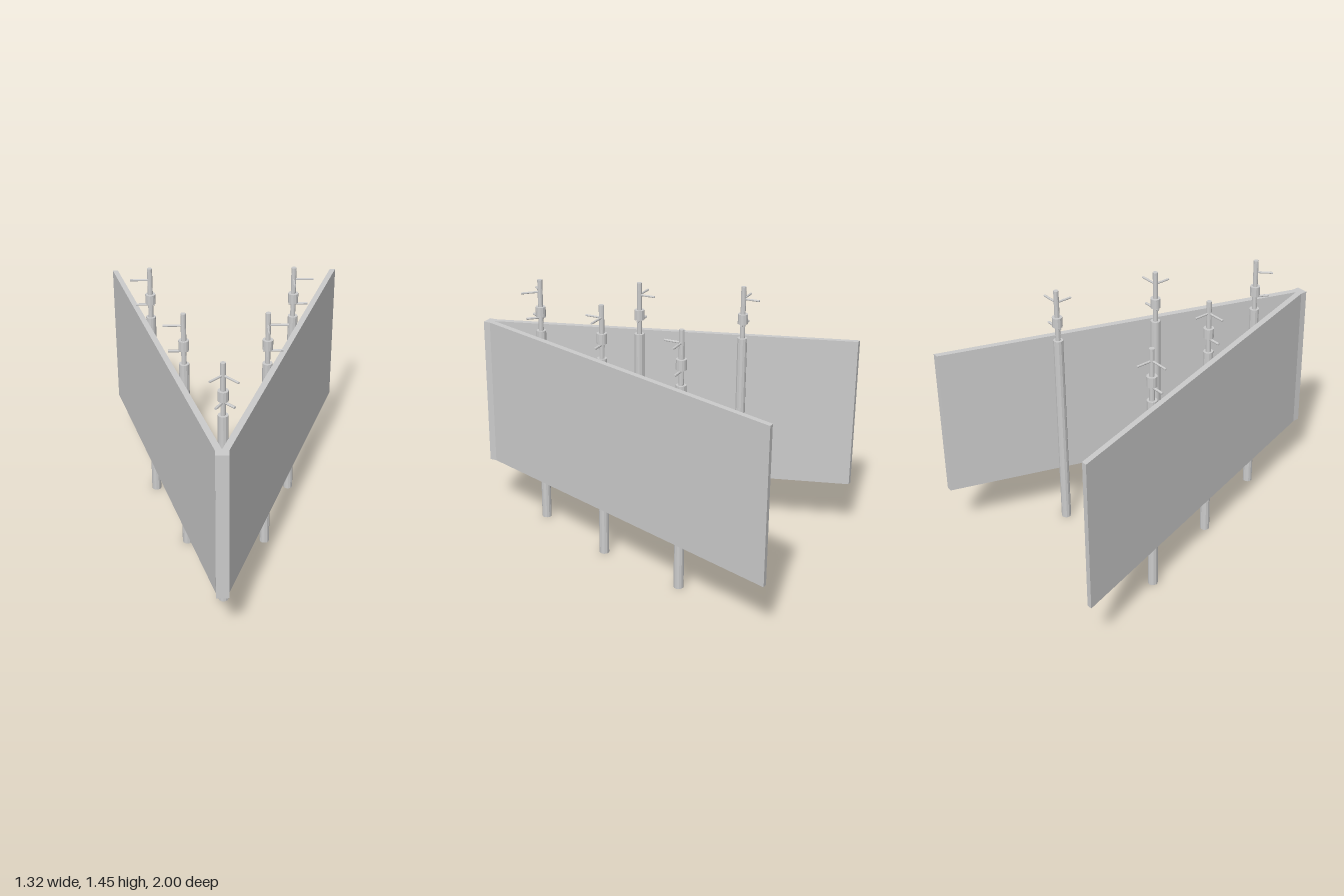
import * as THREE from 'three';

const material = new THREE.MeshStandardMaterial({ color: 0xcccccc, flatShading: true });

function part(name, geometry, y = 0) {
  const mesh = new THREE.Mesh(geometry, material);
  mesh.name = name;
  mesh.position.y = y;
  return mesh;
}

function rod(name, radius, y0, y1) {
  return part(name, new THREE.CylinderGeometry(radius, radius, y1 - y0, 12), (y0 + y1) / 2);
}

// Horizontal peg pointing along an angle measured from +x towards +z
function peg(name, y, angle, start, end, radius) {
  const geometry = new THREE.CylinderGeometry(radius, radius, end - start, 8);
  geometry.rotateZ(-Math.PI / 2);
  geometry.translate((start + end) / 2, 0, 0);
  geometry.rotateY(-angle);
  return part(name, geometry, y);
}

// Stepped post with a collar and pegs
function makePost(name, x, z, degrees) {
  const post = new THREE.Group();
  const a = THREE.MathUtils.degToRad(degrees);
  post.name = name;
  post.position.set(x, 0, z);
  post.add(
    rod('lowerPole', 0.027, 0, 1.153),
    rod('upperPole', 0.014, 1.153, 1.445),
    rod('collar', 0.028, 1.235, 1.291),
    peg('upperPeg', 1.376, a, 0, 0.107, 0.006),
    peg('upperSidePeg', 1.376, a + Math.PI / 2, 0, 0.093, 0.006),
    peg('lowerPeg', 1.228, a, -0.025, 0.081, 0.007)
  );
  return post;
}

export function createModel() {
  const model = new THREE.Group();
  model.name = 'vShapedBarrier';

  // Two wings meeting at a blunt nose, drawn in plan as (x, z)
  const plan = [
    [-0.66, -1], [-0.073, 0.96], [-0.073, 1], [-0.006, 1],
    [-0.006, 0.96], [0.66, -1], [0.628, -1], [-0.04, 0.95], [-0.63, -1],
  ];
  const shape = new THREE.Shape(plan.map(([x, z]) => new THREE.Vector2(x, -z)));
  const walls = new THREE.ExtrudeGeometry(shape, { depth: 0.855, bevelEnabled: false });
  walls.rotateX(-Math.PI / 2);
  model.add(part('wingPanels', walls, 0.3));

  // Posts behind the panels
  const posts = [
    ['rightRearPost', -0.415, -0.41, 180],
    ['rightMiddlePost', -0.226, 0.125, 180],
    ['leftMiddlePost', 0.209, 0.125, 0],
    ['leftRearPost', 0.372, -0.41, 0],
    ['nosePost', -0.03, 0.637, 46],
  ];
  for (const p of posts) model.add(makePost(...p));

  // Extra peg on the nose post
  const nose = model.getObjectByName('nosePost');
  nose.add(peg('lowerSidePeg', 1.228, THREE.MathUtils.degToRad(119), 0, 0.078, 0.007));
  return model;
}
